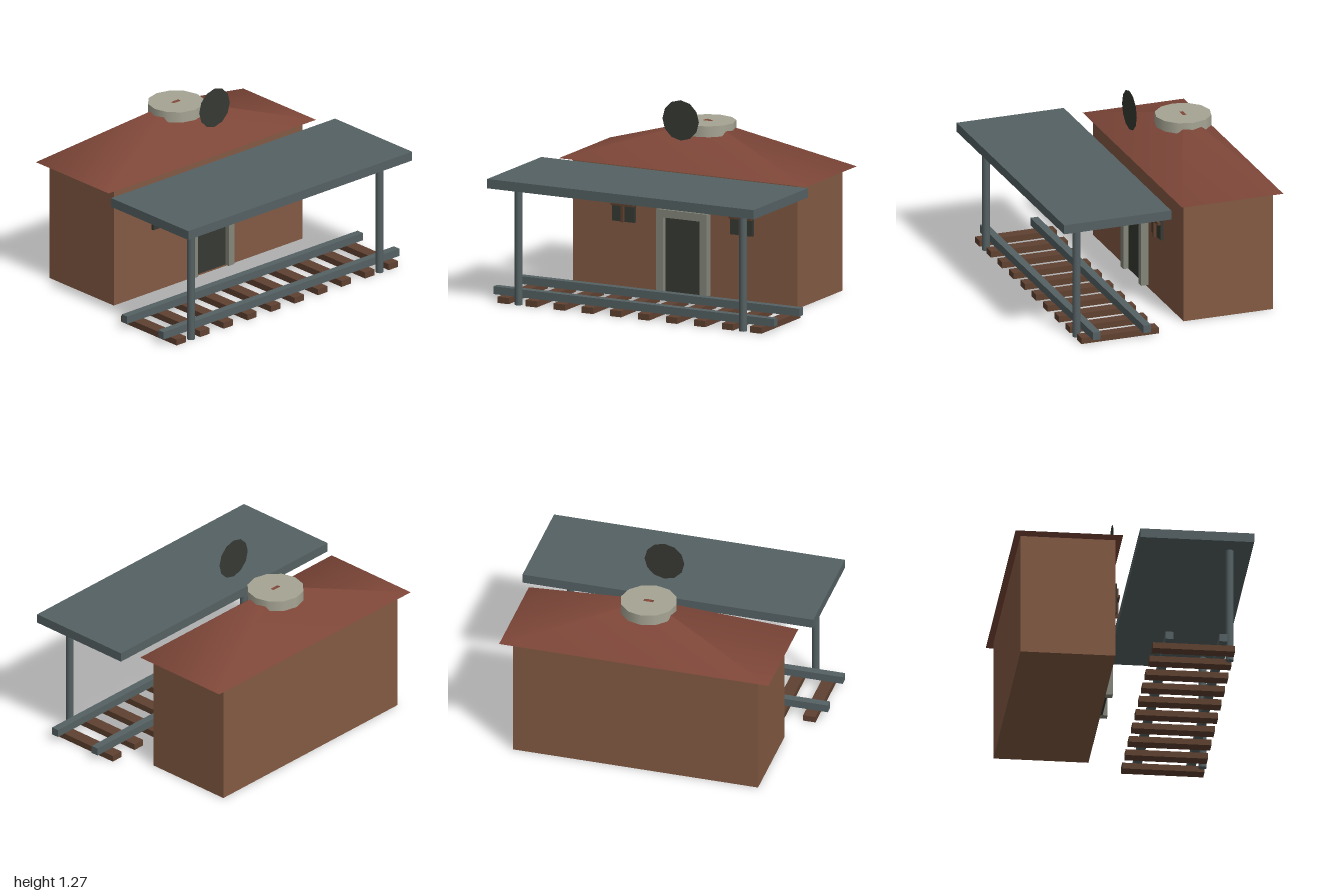
import * as THREE from 'three';

const mat = (color) => new THREE.MeshStandardMaterial({ color });

export function createModel() {
  const model = new THREE.Group();
  model.name = 'railwayStation';

  const brick = mat(0x835a43), tile = mat(0x7d4638), steel = mat(0x556163);
  const stone = mat(0xa6a594), frameStone = mat(0x84867a), wood = mat(0x5f4130);
  const dark = mat(0x373933);
  const darkThin = dark.clone();
  darkThin.side = THREE.DoubleSide;

  const add = (name, geometry, material, x, y, z, parent = model) => {
    const mesh = new THREE.Mesh(geometry, material);
    mesh.name = name;
    mesh.position.set(x, y, z);
    parent.add(mesh);
    return mesh;
  };
  const box = (name, w, h, d, material, x, y, z, parent) =>
    add(name, new THREE.BoxGeometry(w, h, d), material, x, y, z, parent);

  // Station house
  const houseZ = -0.41;
  box('walls', 1.6, 0.8, 0.6, brick, 0, 0.4, houseZ);

  // Pyramid roof: a four-sided cone stretched to a rectangle
  const roof = new THREE.ConeGeometry(Math.SQRT2, 0.28, 4);
  roof.rotateY(Math.PI / 4).scale(0.88, 1, 0.34);
  add('roof', roof, tile, 0, 0.94, houseZ);
  add('roofDrum', new THREE.CylinderGeometry(0.18, 0.18, 0.07, 12), stone, 0, 1.035, houseZ);

  // Clock disc
  add('clockDisc', new THREE.CircleGeometry(0.13, 12), darkThin, 0, 1.14, -0.05);

  // Door with open-bottomed surround
  const surround = new THREE.Shape([
    [-0.18, 0.02], [-0.13, 0.02], [-0.13, 0.5], [0.13, 0.5],
    [0.13, 0.02], [0.18, 0.02], [0.18, 0.55], [-0.18, 0.55],
  ].map(([x, y]) => new THREE.Vector2(x, y)));
  add('doorFrame', new THREE.ExtrudeGeometry(surround, { depth: 0.05, bevelEnabled: false }),
    frameStone, 0, 0, -0.11);
  box('door', 0.26, 0.48, 0.015, dark, 0, 0.26, -0.1);

  // Windows with crossed glazing bars
  for (const [side, s] of [['left', 1], ['right', -1]]) {
    const win = new THREE.Group();
    win.name = side + 'Window';
    win.position.set(s * 0.42, 0.54, -0.08);
    model.add(win);
    box('pane', 0.16, 0.2, 0.02, dark, 0, 0, 0, win);
    box('verticalBar', 0.016, 0.2, 0.02, wood, 0, 0, 0.02, win);
    box('horizontalBar', 0.16, 0.018, 0.02, wood, 0, 0.013, 0.02, win);
  }

  // Platform canopy on two posts
  box('canopy', 1.9, 0.06, 0.72, steel, 0, 0.79, 0.39);
  for (const [side, s] of [['left', 1], ['right', -1]]) {
    add(side + 'Post', new THREE.CylinderGeometry(0.025, 0.025, 0.77, 12), steel, s * 0.8, 0.385, 0.61);
  }

  // Track
  for (const [name, z] of [['frontRail', 0.55], ['backRail', 0.21]]) {
    box(name, 2, 0.05, 0.05, steel, 0, 0.065, z);
  }
  for (let i = 0; i < 10; i++) {
    box('sleeper' + (i + 1), 0.08, 0.04, 0.52, wood, -0.9 + i * 0.2, 0.02, 0.37);
  }

  return model;
}
